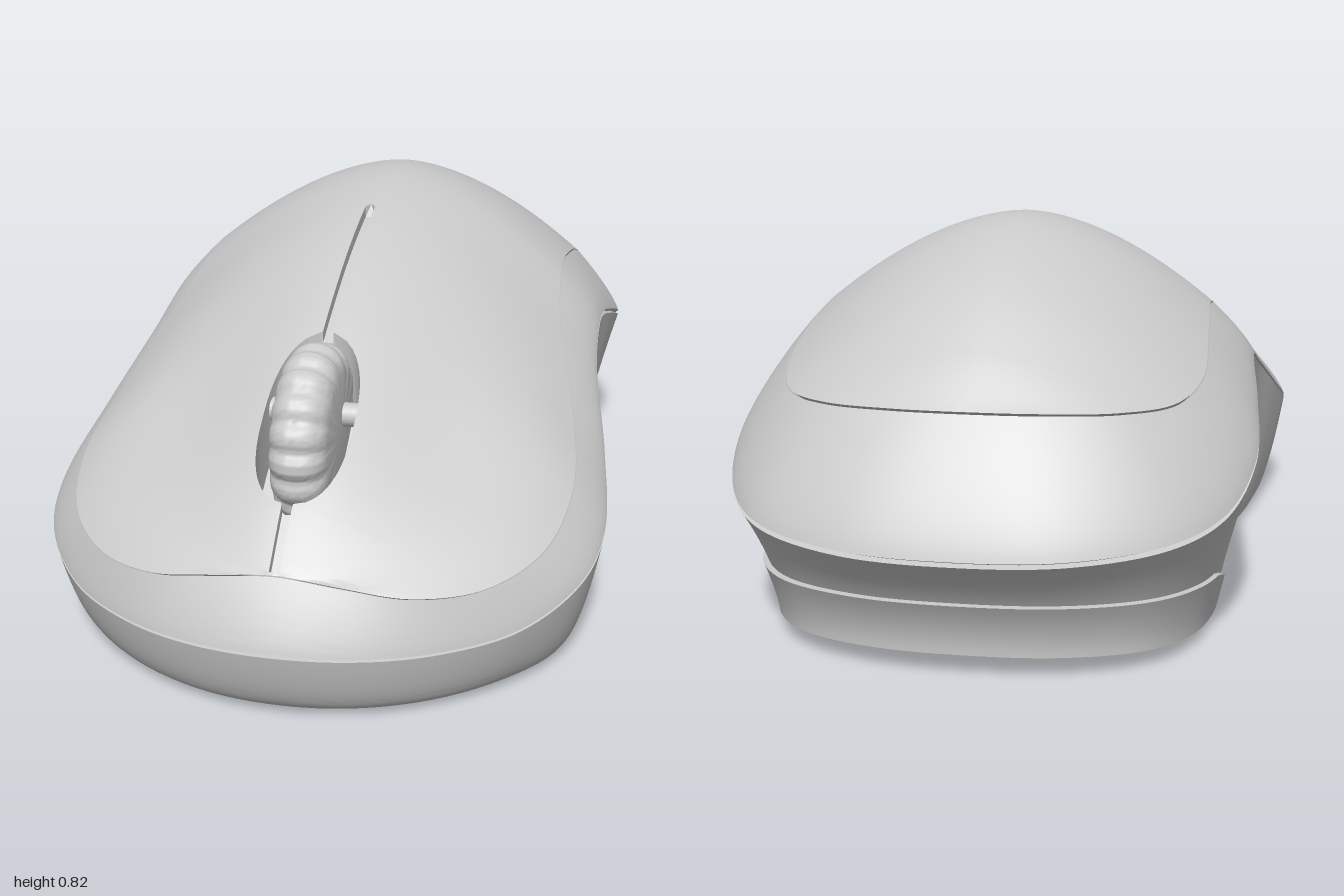
import * as THREE from 'three';
import { toCreasedNormals } from 'three/addons/utils/BufferGeometryUtils.js';

const solid = new THREE.MeshStandardMaterial({ color: 0xcccccc });
const shell = new THREE.MeshStandardMaterial({ color: 0xcccccc, side: THREE.DoubleSide });
const clamp = THREE.MathUtils.clamp, lerp = THREE.MathUtils.lerp;

// Closed horizontal ring from half an outline (front to back), mirrored in x
function ring(half) {
  const pts = half.map(p => new THREE.Vector3(...p));
  const back = half.slice(1, -1).reverse().map(([x, y, z]) => new THREE.Vector3(-x, y, z));
  return new THREE.CatmullRomCurve3([...pts, ...back], true);
}

// Surface over a grid of points given by fn(row, column)
function loft(rows, cols, fn) {
  const pos = [], idx = [];
  for (let i = 0; i <= rows; i++) for (let j = 0; j <= cols; j++) pos.push(...fn(i, j));
  for (let i = 0; i < rows; i++) for (let j = 0; j < cols; j++) {
    const a = i * (cols + 1) + j, b = a + cols + 1;
    idx.push(a, b, a + 1, b, b + 1, a + 1);
  }
  const g = new THREE.BufferGeometry();
  g.setAttribute('position', new THREE.Float32BufferAttribute(pos, 3));
  g.setIndex(idx);
  return toCreasedNormals(g, 0.6);
}

// Smooth interpolation through (position, value) pairs in rising order
function smooth(pts) {
  const slope = i => {
    const a = pts[Math.max(i - 1, 0)], b = pts[Math.min(i + 1, pts.length - 1)];
    return (b[1] - a[1]) / (b[0] - a[0]);
  };
  return x => {
    let i = 0;
    while (i < pts.length - 2 && x > pts[i + 1][0]) i++;
    const [x0, y0] = pts[i], [x1, y1] = pts[i + 1], w = x1 - x0, t = clamp((x - x0) / w, 0, 1);
    return (1 + 2 * t) * (1 - t) ** 2 * y0 + t * (1 - t) ** 2 * w * slope(i)
      + t * t * (3 - 2 * t) * y1 + t * t * (t - 1) * w * slope(i + 1);
  };
}

const baseY = z => 0.012 + Math.max(0, -0.4 - z) * 0.07;

// Outlines of the underside, lower seam and upper seam
const base = ring([[0, 0.91], [0.14, 0.895], [0.28, 0.84], [0.4, 0.75], [0.5, 0.63], [0.535, 0.5],
  [0.515, 0.28], [0.475, 0.07], [0.46, -0.14], [0.465, -0.36], [0.455, -0.53], [0.42, -0.67],
  [0.34, -0.78], [0.19, -0.85], [0, -0.87]].map(([x, z]) => [x, baseY(z), z]));
const lower = ring([[0, 0.168, 1], [0.16, 0.163, 0.975], [0.31, 0.158, 0.91], [0.46, 0.165, 0.8],
  [0.565, 0.205, 0.66], [0.6, 0.25, 0.52], [0.58, 0.335, 0.3], [0.54, 0.44, 0.07], [0.53, 0.495, -0.14],
  [0.545, 0.44, -0.36], [0.55, 0.37, -0.55], [0.5, 0.305, -0.74], [0.4, 0.28, -0.88],
  [0.22, 0.268, -0.975], [0, 0.265, -1]]);
const upper = ring([[0, 0.305, 0.93], [0.13, 0.29, 0.925], [0.26, 0.268, 0.9], [0.39, 0.262, 0.825],
  [0.49, 0.29, 0.7], [0.53, 0.35, 0.53], [0.505, 0.435, 0.3], [0.45, 0.55, 0.07], [0.43, 0.62, -0.14],
  [0.435, 0.595, -0.36], [0.435, 0.535, -0.55], [0.39, 0.51, -0.68], [0.29, 0.512, -0.78],
  [0.15, 0.518, -0.835], [0, 0.52, -0.85]]);
const spine = smooth([[-0.85, 0.52], [-0.75, 0.615], [-0.6, 0.72], [-0.4, 0.795], [-0.22, 0.822], [0, 0.8],
  [0.2, 0.75], [0.4, 0.67], [0.55, 0.59], [0.7, 0.495], [0.82, 0.405], [0.93, 0.305]]);

const inset = (p, k, dy = 0) => [p.x * k, p.y + dy, p.z * k];

// Side wall point, v = 0 underside to 1 lower seam
function wall(t, v) {
  const b = base.getPoint(t), l = lower.getPoint(t);
  const w = v ** (l.z > 0 ? 0.8 - 0.35 * l.z : 0.8 + l.z * l.z);
  return new THREE.Vector3(lerp(b.x, l.x, w), lerp(b.y, l.y, v), lerp(b.z, l.z, w));
}

// Half width of the opening along the middle: narrow slit plus wheel well
function opening(z) {
  const q = Math.abs(z - 0.645) / 0.175;
  const well = q < 1 ? 0.095 * (1 - q ** 2.6) ** 0.45 : 0;
  return Math.max(well, z > 0.04 && z < 0.925 ? 0.011 : 0);
}

// One half of the top cover, with rolled edge and recessed opening
function coverHalf(side) {
  const n = 28;
  return loft(220, n + 3, (i, j) => {
    const p = upper.getPoint(i / 440), w = Math.max(p.x, 0);
    if (j === 0) return [side * w * 0.98, p.y - 0.012, p.z * 0.98];
    const a = Math.min(opening(p.z), w), depth = a > 0.03 ? 0.15 : a > 0.001 ? 0.025 : 0;
    const k = Math.min((j - 1) / n, 1), x = lerp(w, a, k), u = w > 1e-4 ? x / w : 1;
    const scoop = 0.035 * Math.sin(Math.PI * u) ** 2 * Math.exp(-(((p.z - 0.58) / 0.25) ** 2));
    const y = p.y + (Math.max(spine(p.z), p.y) - p.y) * (1 - u ** 1.75) - scoop;
    return [side * (j === n + 3 ? 0 : x), j > n + 1 ? y - depth : y, p.z];
  });
}

// Flat plate with rounded corners, lying in the xz plane; rim > 0 leaves only a frame
function plate(w, d, r, depth, rim = 0) {
  const outline = (target, w, d, r) => {
    const x = w / 2, y = d / 2;
    r = Math.min(r, x - 0.001, y - 0.001);
    target.absarc(x - r, y - r, r, 0, Math.PI / 2);
    target.absarc(r - x, y - r, r, Math.PI / 2, Math.PI);
    target.absarc(r - x, r - y, r, Math.PI, Math.PI * 1.5);
    target.absarc(x - r, r - y, r, Math.PI * 1.5, Math.PI * 2);
    target.closePath();
    return target;
  };
  const s = outline(new THREE.Shape(), w, d, r);
  if (rim) s.holes.push(outline(new THREE.Path(), w - 2 * rim, d - 2 * rim, Math.max(r - rim, 0.005)));
  return new THREE.ExtrudeGeometry(s, { depth, bevelEnabled: false, curveSegments: 10 }).rotateX(Math.PI / 2);
}

export function createModel() {
  const model = new THREE.Group();
  const add = (name, geo, x = 0, y = 0, z = 0, mat = solid) => {
    const m = new THREE.Mesh(geo, mat);
    m.name = name;
    m.position.set(x, y, z);
    model.add(m);
    return m;
  };
  const addShell = (name, geo) => add(name, geo, 0, 0, 0, shell);

  // Lower body and underside
  const N = 240, R = 18;
  addShell('lowerBody', loft(R + 1, N, (i, j) => i > R
    ? inset(lower.getPoint(j / N), 0.98) : [...wall(j / N, 0.985 * (i / R) ** 1.7)]));
  addShell('underside', loft(120, 8, (i, j) => {
    const p = base.getPoint(i / 240);
    return [p.x * (1 - j / 4), p.y, p.z];
  }));

  // Middle band between the two seams
  addShell('sideBand', loft(R + 2, N, (i, j) => {
    const l = lower.getPoint(j / N), u = upper.getPoint(j / N);
    if (i === 0) return inset(l, 0.98);
    if (i === R + 2) return inset(u, 0.98, -0.012);
    const v = lerp(0.03, 0.985, (i - 1) / R), w = v ** 1.3;
    return [lerp(l.x, u.x, w), lerp(l.y, u.y, v), lerp(l.z, u.z, w)];
  }));

  // Top cover
  addShell('topCoverLeft', coverHalf(1));
  addShell('topCoverRight', coverHalf(-1));

  // Raised heel wrapped round the lower back
  addShell('heel', loft(9, 100, (i, j) => {
    const t = lerp(0.33, 0.67, j / 100), l = lower.getPoint(t), b = base.getPoint(t);
    const rise = Math.sqrt(clamp((-0.38 - b.z) / 0.22, 0, 1));
    const top = 0.115 * rise / (l.y - b.y);
    return inset(wall(t, top * Math.min(i / 8, 1)), i === 9 ? 0.97 : 1.018);
  }));

  // Scroll wheel with ribbed tread, and its axle
  const tread = loft(180, 20, (i, j) => {
    const a = i / 180 * Math.PI * 2, c = Math.PI * j / 20, x = -0.06 * Math.cos(c);
    const rib = 0.01 * Math.abs(Math.cos(a * 9)) ** 4;
    const r = j % 20 === 0 ? 0 : 0.12 + 0.07 * Math.sin(c) ** 0.8 - rib;
    return [x, r * Math.cos(a), r * Math.sin(a)];
  });
  add('scrollWheel', tread, 0, 0.46, 0.6, shell);
  add('wheelAxle', new THREE.CylinderGeometry(0.025, 0.025, 0.19, 20).rotateZ(Math.PI / 2), 0, 0.5, 0.58);

  // Glide pads
  for (const s of [1, -1])
    add('frontPad', new THREE.CylinderGeometry(0.075, 0.075, 0.014, 32), s * 0.34, 0.007, 0.67);
  add('rearPad', plate(0.52, 0.16, 0.08, 0.035), 0, 0.056, -0.68);

  // Underside details
  add('labelFrame', plate(0.58, 0.38, 0.03, 0.008, 0.008), 0.16, 0.014, 0.345);
  add('batteryDoor', plate(0.56, 0.48, 0.08, 0.006, 0.008), -0.13, 0.014, -0.17);
  add('sensorPad', plate(0.2, 0.18, 0.04, 0.012), -0.176, 0.016, -0.06);
  add('powerSwitchFrame', plate(0.12, 0.29, 0.06, 0.008, 0.01), 0.275, 0.014, -0.11);
  add('powerSwitchKnob', new THREE.BoxGeometry(0.07, 0.02, 0.09), 0.275, 0.011, -0.14);
  add('buttonFrame', plate(0.24, 0.11, 0.055, 0.008, 0.01), -0.3, 0.014, 0.42);
  add('connectButton', plate(0.12, 0.06, 0.03, 0.01), -0.3, 0.014, 0.42);

  return model;
}
